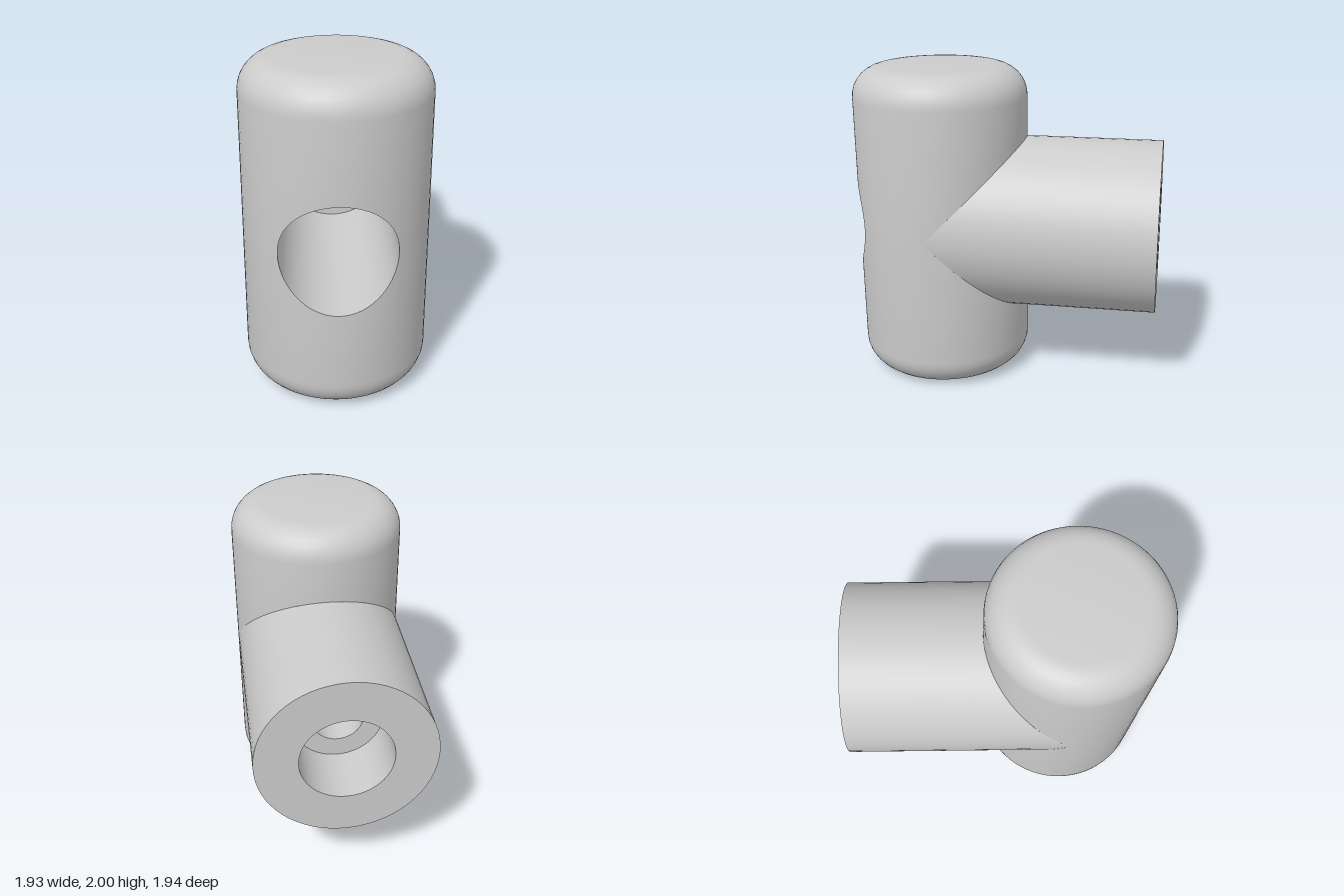
import * as THREE from 'three';
import { toCreasedNormals } from 'three/addons/utils/BufferGeometryUtils.js';

const R = 0.55;        // radius of post and branch
const FILLET = 0.19;   // rounding of the post ends
const SOCKET = 0.335;  // front bore radius
const BORE = 0.285;    // counterbore radius at the branch end
const HOLE = 0.16;     // through hole joining the bores
const LENGTH = 1.41;   // branch end, measured from the post axis

// Skin a grid of points f(u, j), u from a list, j = 0..rows-1
function skin(us, rows, f) {
  const pos = [], index = [];
  us.forEach((u, i) => {
    for (let j = 0; j < rows; j++) {
      pos.push(...f(u, j));
      if (i && j) {
        const d = i * rows + j, c = d - 1, b = d - rows, a = b - 1;
        index.push(a, c, d, a, d, b);
      }
    }
  });
  const g = new THREE.BufferGeometry();
  g.setAttribute('position', new THREE.Float32BufferAttribute(pos, 3));
  g.setIndex(index);
  return toCreasedNormals(g, 0.6);
}

const range = (a, b, n) => Array.from({ length: n + 1 }, (_, i) => a + (b - a) * i / n);

export function createModel() {
  const model = new THREE.Group();
  const material = new THREE.MeshStandardMaterial({ color: 0xcccccc });
  const add = (name, geometry) => {
    const mesh = new THREE.Mesh(geometry, material);
    mesh.name = name;
    model.add(mesh);
  };

  // Post: angles are sampled densely where the socket and the branch cut it
  const edge = Math.asin(SOCKET / R);
  const angles = [
    ...range(-Math.PI / 2, Math.PI / 2, 36),
    ...range(Math.PI / 2, Math.PI - edge, 10).slice(1),
    ...range(Math.PI / 2, -Math.PI / 2, 32).slice(1)
      .map(v => Math.PI - Math.asin(SOCKET / R * Math.sin(v))),
    ...range(Math.PI + edge, Math.PI * 1.5, 10).slice(1),
  ];
  // Half height of the opening in the post wall at each angle
  const opening = a => Math.cos(a) > 0
    ? R * Math.cos(a)
    : Math.sqrt(Math.max(0, SOCKET ** 2 - (R * Math.sin(a)) ** 2));
  const profile = [[0, 0], ...range(0, Math.PI / 2, 8)
    .map(t => [R - FILLET + FILLET * Math.sin(t), FILLET - FILLET * Math.cos(t)])];
  const rows = profile.length + 1;
  const half = (a, j) => {
    const [r, y] = profile[j] || [R, 1 - opening(a)];
    return [r * Math.sin(a), y, r * Math.cos(a)];
  };
  add('lowerPost', skin(angles, rows, half));
  add('upperPost', skin(angles, rows, (a, j) => {
    const [x, y, z] = half(a, rows - 1 - j);
    return [x, 2 - y, z];
  }));

  // Horizontal turned parts: [position along the axis, radius]; the position may vary with angle
  const turn = range(0, Math.PI * 2, 64);
  const turned = points => skin(turn, points.length, (a, j) => {
    const [t, r] = points[j];
    return [r * Math.sin(a), 1 + r * Math.cos(a), typeof t === 'function' ? t(a) : t];
  });
  const onPost = r => a => Math.sqrt(Math.max(0, R * R - (r * Math.sin(a)) ** 2));
  add('frontSocket', turned([[a => -onPost(SOCKET)(a), SOCKET], [0.7, SOCKET], [0.7, HOLE]]));
  add('throughHole', turned([[0.7, HOLE], [1.02, HOLE]]));
  add('counterbore', turned([[1.02, HOLE], [1.02, BORE], [LENGTH, BORE]]));
  add('branch', turned([[LENGTH, BORE], [LENGTH, R], [onPost(R), R]]));

  // Aim the branch toward the back left
  model.rotation.y = Math.atan2(0.697, -0.713);
  model.position.set(-0.415, 0, 0.422);
  const root = new THREE.Group();
  root.name = 'teeConnector';
  root.add(model);
  return root;
}
